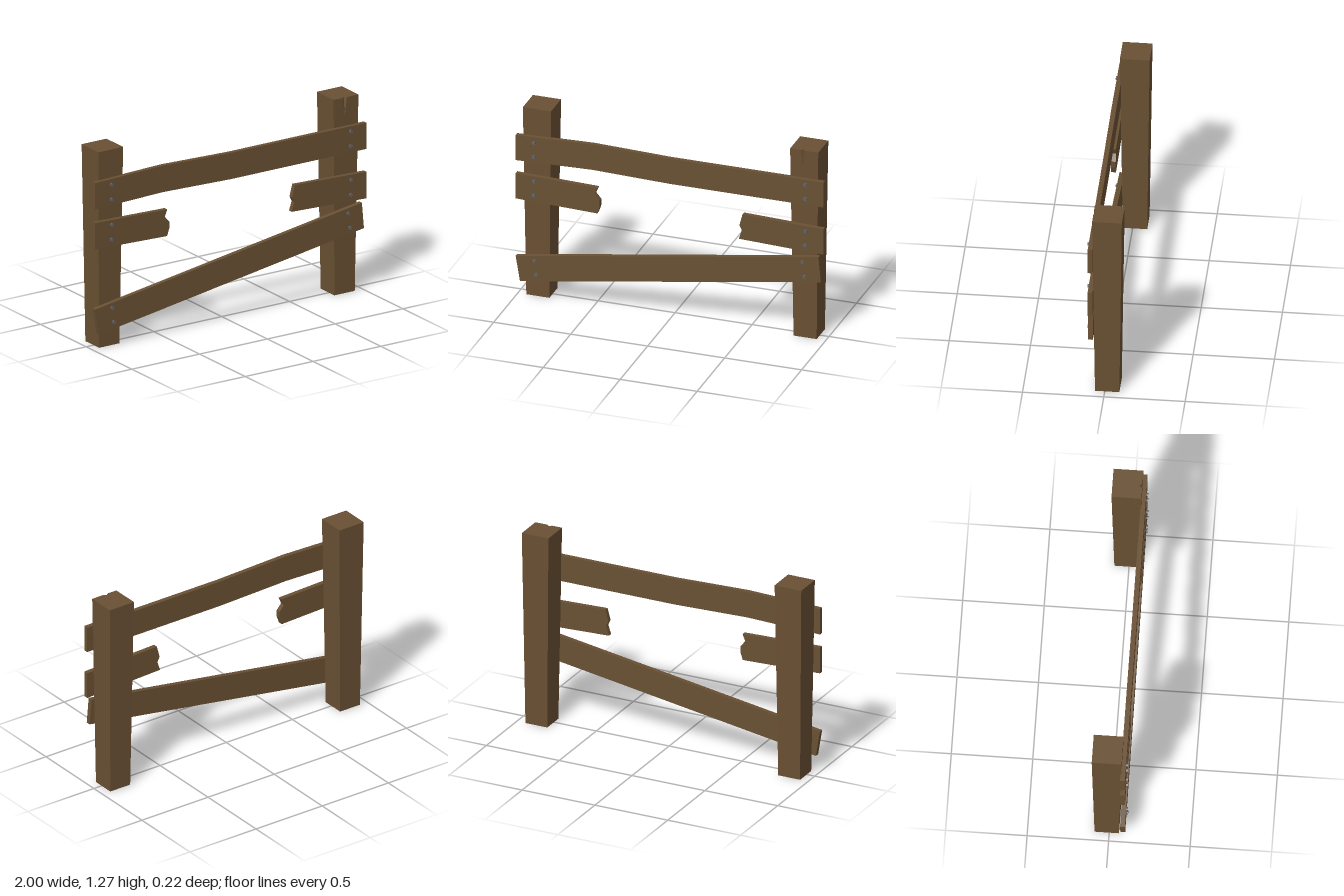
import * as THREE from 'three';

const wood = new THREE.MeshStandardMaterial({ color: 0x695033, flatShading: true });
wood.name = 'brown wood';
const steel = new THREE.MeshStandardMaterial({ color: 0x5f646b, flatShading: true });
steel.name = 'grey steel';

const POST_HEIGHT = 1.275, POST_Z = -0.015;
const BOARD_BACK = 0.07, BOARD_FRONT = 0.1;

function part(name, geometry, material) {
  const mesh = new THREE.Mesh(geometry, material);
  mesh.name = name;
  return mesh;
}

// Square post, wider at the top, optionally with a V-shaped split in its front face
function postGeometry(split) {
  const b = 0.075, t = 0.0915, h = POST_HEIGHT;
  const ring = (r, y) => [[-r, y, r], [r, y, r], [r, y, -r], [-r, y, -r]];
  const lo = ring(b, 0), hi = ring(t, h);
  const pos = [];
  // Fan of triangles around the first corner, counter-clockwise from outside
  const face = (...p) => {
    for (let i = 1; i < p.length - 1; i++) pos.push(...p[0], ...p[i], ...p[i + 1]);
  };
  for (let i = 1; i < 4; i++) {
    const j = (i + 1) % 4;
    face(lo[i], lo[j], hi[j], hi[i]);
  }
  face(lo[3], lo[2], lo[1], lo[0]);
  if (split) {
    const tipY = 1.155, x = -0.008;
    const tip = [x, tipY, b + (t - b) * tipY / h];
    const left = [x - 0.016, h, t], right = [x + 0.014, h, t], deep = [x, h, t - 0.016];
    face(tip, left, hi[0], lo[0], lo[1], hi[1], right);
    face(deep, right, hi[1], hi[2], hi[3], hi[0], left);
    face(left, tip, deep);
    face(right, deep, tip);
  } else {
    face(lo[0], lo[1], hi[1], hi[0]);
    face(...hi);
  }
  const g = new THREE.BufferGeometry();
  g.setAttribute('position', new THREE.Float32BufferAttribute(pos, 3));
  g.computeVertexNormals();
  return g;
}

// Flat board cut from an outline in the front plane
function board(name, outline) {
  const shape = new THREE.Shape(outline.map(([x, y]) => new THREE.Vector2(x, y)));
  const g = new THREE.ExtrudeGeometry(shape, { depth: BOARD_FRONT - BOARD_BACK, bevelEnabled: false });
  g.translate(0, 0, BOARD_BACK);
  return part(name, g, wood);
}

export function createModel() {
  const fence = new THREE.Group();
  fence.name = 'brokenFence';

  // Posts
  const rightPost = part('rightPost', postGeometry(false), wood);
  rightPost.position.set(-0.87, 0, POST_Z);
  const leftPost = part('leftPost', postGeometry(true), wood);
  leftPost.position.set(0.866, 0, POST_Z);
  fence.add(rightPost, leftPost);

  // Boards: bowed top rail, two snapped stubs, fallen bottom rail
  fence.add(
    board('topRail', [
      [-1, 0.92], [-0.5, 0.934], [0, 0.92], [1, 0.92],
      [1, 1.09], [0, 1.09], [-0.5, 1.105], [-1, 1.09],
    ]),
    board('rightBrokenRail', [
      [-1, 0.66], [-0.47, 0.643], [-0.454, 0.69], [-0.454, 0.733],
      [-0.487, 0.772], [-0.468, 0.816], [-1, 0.831],
    ]),
    board('leftBrokenRail', [
      [0.449, 0.62], [1, 0.6], [1, 0.772], [0.473, 0.789], [0.453, 0.712], [0.469, 0.68],
    ]),
    board('bottomRail', [[-0.972, 0.102], [0.982, 0.41], [0.967, 0.578], [-1, 0.27]]),
  );

  // Bolt heads, two at each board end
  const bolts = new THREE.Group();
  bolts.name = 'bolts';
  const boltGeometry = new THREE.CylinderGeometry(0.012, 0.012, 0.014, 6);
  boltGeometry.rotateX(Math.PI / 2);
  const spots = [
    [-0.882, 1.058], [-0.882, 0.962], [-0.88, 0.797], [-0.882, 0.702], [-0.877, 0.258], [-0.866, 0.165],
    [0.882, 1.058], [0.882, 0.962], [0.884, 0.742], [0.882, 0.647], [0.863, 0.53], [0.877, 0.434],
  ];
  for (const [x, y] of spots) {
    const bolt = part('bolt', boltGeometry, steel);
    bolt.position.set(x, y, BOARD_FRONT + 0.004);
    bolts.add(bolt);
  }
  fence.add(bolts);
  return fence;
}
